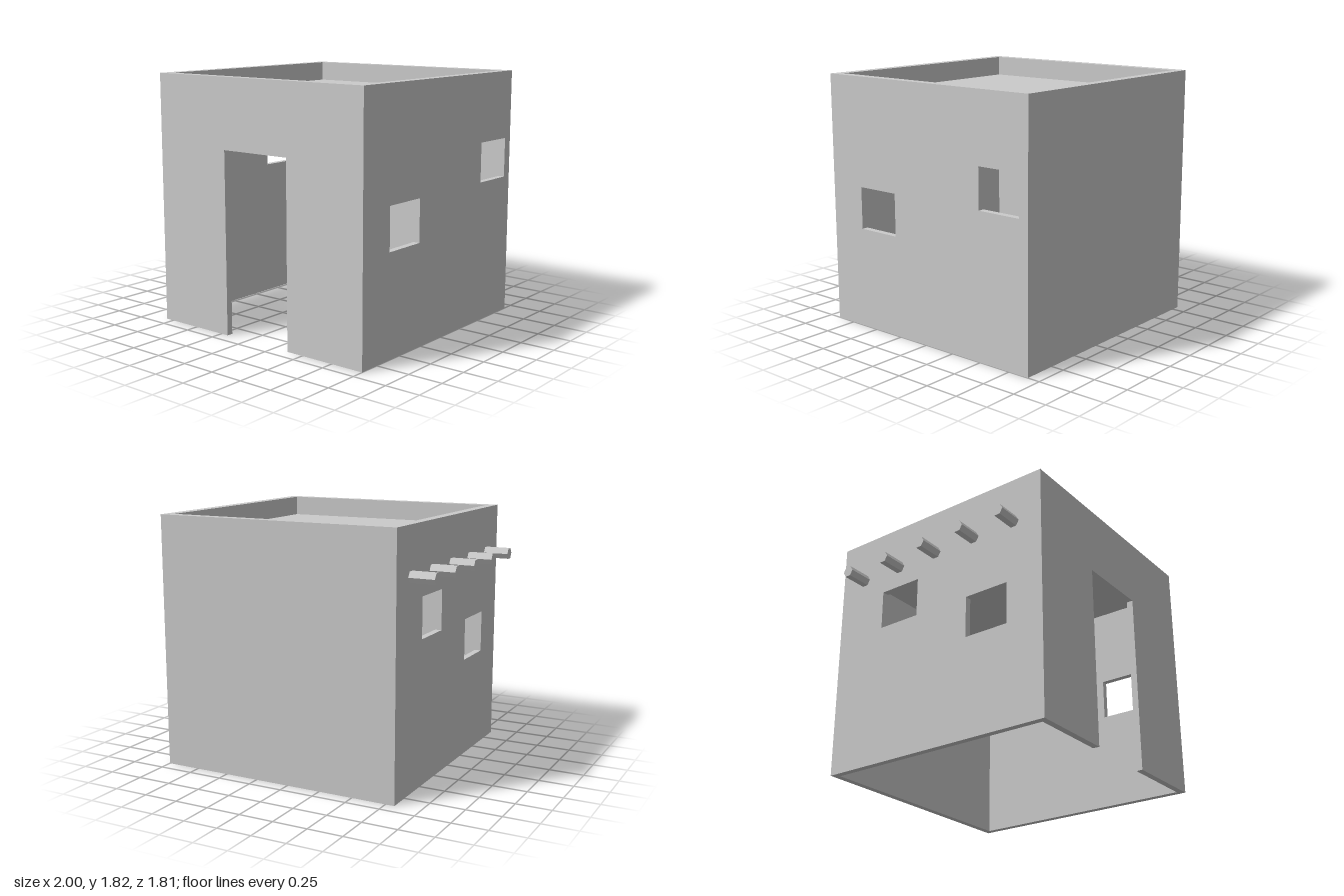
import * as THREE from 'three';

const material = new THREE.MeshStandardMaterial({ color: 0xcccccc, flatShading: true });

// House body extents
const X0 = -0.815, X1 = 1, Z = 0.907;
const CX = (X0 + X1) / 2, W = X1 - X0;
const WALL = 0.047, PARAPET = 0.07;
const CEILING = 1.63, ROOF = 1.675, TOP = 1.82;

function add(group, name, geometry, x = 0, y = 0, z = 0) {
  const mesh = new THREE.Mesh(geometry, material);
  mesh.name = name;
  mesh.position.set(x, y, z);
  group.add(mesh);
  return mesh;
}

function rectPath(a0, b0, a1, b1, Type = THREE.Path) {
  return new Type([[a0, b0], [a1, b0], [a1, b1], [a0, b1]].map(([a, b]) => new THREE.Vector2(a, b)));
}

function extrude(shape, depth) {
  return new THREE.ExtrudeGeometry(shape, { depth, bevelEnabled: false });
}

// Side wall in the zy plane; windows are [zMin, yMin, zMax, yMax]
function sideWall(windows) {
  const end = Z - WALL;
  const shape = rectPath(-end, 0, end, CEILING, THREE.Shape);
  for (const [z0, y0, z1, y1] of windows) shape.holes.push(rectPath(-z1, y0, -z0, y1));
  return extrude(shape, WALL).rotateY(Math.PI / 2);
}

export function createModel() {
  const house = new THREE.Group();
  house.name = 'house';

  // Front wall with a doorway open to the ground
  const front = new THREE.Shape([
    [X0, 0], [-0.19, 0], [-0.19, 1.32], [0.37, 1.32], [0.37, 0], [X1, 0], [X1, CEILING], [X0, CEILING],
  ].map(([x, y]) => new THREE.Vector2(x, y)));
  add(house, 'frontWall', extrude(front, WALL), 0, 0, Z - WALL);

  // Plain back wall
  add(house, 'backWall', new THREE.BoxGeometry(W, CEILING, WALL), CX, CEILING / 2, -Z + WALL / 2);

  // Side walls, two windows each
  const lowWindow = [0.28, 0.73, 0.62, 1.035];
  add(house, 'leftWall', sideWall([lowWindow, [-0.835, 1.035, -0.497, 1.325]]), X1 - WALL);
  add(house, 'rightWall', sideWall([lowWindow, [-0.497, 1.035, -0.165, 1.325]]), X0);

  // Parapet ring around the flat roof
  const ring = rectPath(X0, -Z, X1, Z, THREE.Shape);
  ring.holes.push(rectPath(X0 + PARAPET, -Z + PARAPET, X1 - PARAPET, Z - PARAPET));
  add(house, 'parapet', extrude(ring, TOP - CEILING).rotateX(-Math.PI / 2), 0, CEILING);

  // Roof slab set below the parapet top
  const slab = new THREE.BoxGeometry(W - 2 * PARAPET, ROOF - CEILING, 2 * (Z - PARAPET));
  add(house, 'roof', slab, CX, (ROOF + CEILING) / 2);

  // Row of hexagonal roof beam ends
  const beamLength = X0 + 1 + 0.02;
  const beam = new THREE.CylinderGeometry(0.044, 0.044, beamLength, 6).rotateZ(Math.PI / 2);
  for (let i = -2; i <= 2; i++) {
    add(house, 'roofBeam', beam, -1 + beamLength / 2, 1.482, -0.004 + i * 0.342);
  }
  return house;
}
